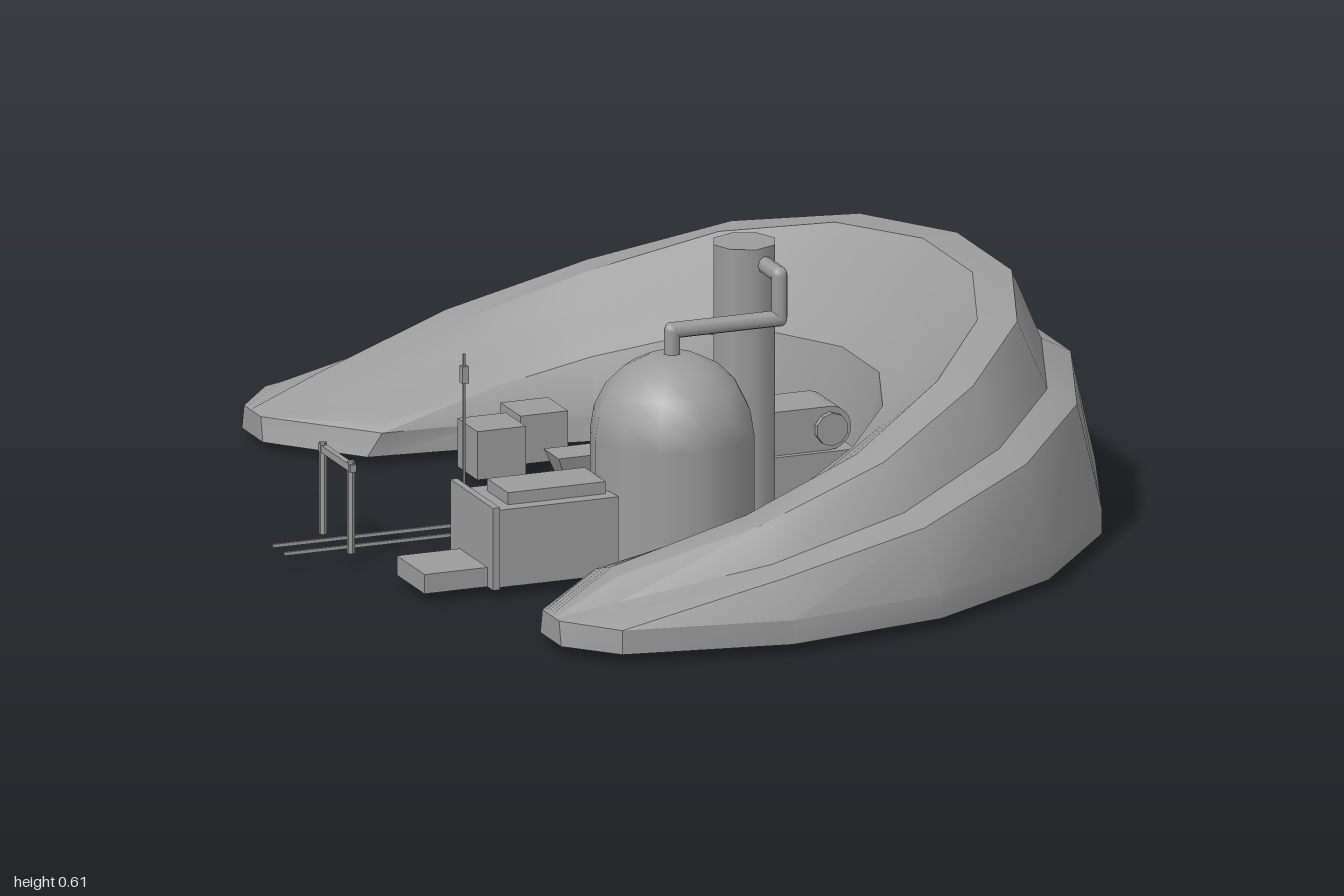
import * as THREE from 'three';
import { toCreasedNormals } from 'three/addons/utils/BufferGeometryUtils.js';

const GREY = 0x9c9c9c;
const flat = new THREE.MeshStandardMaterial({ color: GREY, flatShading: true, side: THREE.DoubleSide });
const smooth = new THREE.MeshStandardMaterial({ color: GREY, side: THREE.DoubleSide });
const GROUND = 0.02, SKIRT = 0.05;

// Crescent ridge: one terraced profile swept round an arc, shrinking to both tips
function ridgeGeometry() {
  // [radius, height] from the outer foot over the crest to the inner foot
  const profile = [[1, 0], [1, SKIRT], [0.95, 0.28], [0.89, 0.31], [0.83, 0.455], [0.75, 0.455],
    [0.69, 0.39], [0.63, 0.33], [0.56, 0.26], [0.525, SKIRT], [0.52, 0]];
  const scales = [1, 0.95, 0.83, 0.63, 0.44, 0.25];
  const n = profile.length, pos = [], idx = [];
  // The upright skirt keeps its height all the way round
  const height = (h, scale) => GROUND + (h && Math.max(SKIRT, h * scale));
  const tip = side => profile.forEach(([, h], i) =>
    pos.push(-0.58, height(h, 0), side * (0.84 - 0.11 * i / (n - 1))));

  tip(-1);
  for (let deg = -110; deg <= 110; deg += 20) {
    const step = (Math.abs(deg) - 10) / 20;
    profile.forEach(([r, h], i) => {
      const swing = step === 5 ? (i / (n - 1)) ** 3 : 0;
      const a = THREE.MathUtils.degToRad(deg + Math.sign(deg) * 7 * swing);
      const radius = r + 0.1 * swing;
      pos.push(-0.147 + Math.cos(a) * radius, height(h, scales[step]), Math.sin(a) * radius);
    });
  }
  tip(1);

  const sections = pos.length / 3 / n;
  for (let j = 0; j < sections - 1; j++)
    for (let i = 0; i < n - 1; i++) {
      const a = j * n + i, b = a + n;
      idx.push(a, a + 1, b, a + 1, b + 1, b);
    }
  // Blunt ends
  const last = (sections - 1) * n;
  for (let i = 1; i < n - 1; i++) idx.push(0, i + 1, i, last, last + i, last + i + 1);

  const g = new THREE.BufferGeometry();
  g.setAttribute('position', new THREE.Float32BufferAttribute(pos, 3));
  g.setIndex(idx);
  return toCreasedNormals(g, 0.45);
}

export function createModel() {
  const model = new THREE.Group();
  model.name = 'craterOutpost';

  const add = (name, geometry, x = 0, y = 0, z = 0, material = flat, parent = model) => {
    const mesh = new THREE.Mesh(geometry, material);
    mesh.name = name;
    mesh.position.set(x, y, z);
    parent.add(mesh);
  };
  // Box given by its extents; open boxes have no underside
  const box = (name, x0, x1, y0, y1, z0, z1, open = false, parent = model) => {
    const g = new THREE.BoxGeometry(x1 - x0, y1 - y0, z1 - z0);
    if (open) {
      const index = Array.from(g.index.array);
      index.splice(18, 6);
      g.setIndex(index);
      g.clearGroups();
    }
    add(name, g, (x0 + x1) / 2, (y0 + y1) / 2, (z0 + z1) / 2, flat, parent);
  };
  const group = name => {
    const g = new THREE.Group();
    g.name = name;
    model.add(g);
    return g;
  };

  add('ridge', ridgeGeometry(), 0, 0, 0, smooth);

  // Domed storage tank
  const tank = group('tank');
  add('tankWall', new THREE.CylinderGeometry(0.165, 0.165, 0.275, 12), -0.13, 0.1375, 0.32, smooth, tank);
  add('tankDome', new THREE.SphereGeometry(0.165, 12, 5, 0, Math.PI * 2, 0, Math.PI / 2), -0.13, 0.275, 0.32, smooth, tank);

  // Chimney stack and the pipe that feeds it
  add('stack', new THREE.CylinderGeometry(0.066, 0.066, 0.59, 8), 0.08, 0.315, 0.185, smooth);
  const pipe = group('pipe');
  const route = [[-0.13, 0.42, 0.32], [-0.13, 0.485, 0.32], [0.1, 0.485, 0.32], [0.1, 0.575, 0.32], [0.1, 0.575, 0.2]]
    .map(p => new THREE.Vector3(...p));
  for (let i = 0; i < route.length - 1; i++) {
    add('pipeRun', new THREE.TubeGeometry(new THREE.LineCurve3(route[i], route[i + 1]), 1, 0.017, 8), 0, 0, 0, smooth, pipe);
    if (i) add('pipeElbow', new THREE.SphereGeometry(0.017, 8, 6), ...route[i].toArray(), smooth, pipe);
  }

  // Workshop with raised roof, annexes and front wall
  const workshop = group('workshop');
  box('hall', -0.55, -0.28, GROUND, 0.18, 0.23, 0.405, true, workshop);
  box('roofSlab', -0.505, -0.295, 0.18, 0.205, 0.265, 0.375, false, workshop);
  box('sideAnnex', -0.52, -0.3, GROUND, 0.085, 0.125, 0.23, true, workshop);
  box('porch', -0.69, -0.55, GROUND, 0.06, 0.245, 0.39, true, workshop);
  box('frontWall', -0.555, -0.54, GROUND, 0.19, 0.195, 0.42, false, workshop);
  add('mast', new THREE.CylinderGeometry(0.003, 0.003, 0.43, 6), -0.53, 0.235, 0.207, flat, workshop);
  box('mastLamp', -0.537, -0.523, 0.39, 0.425, 0.2, 0.214, false, workshop);

  // Rail line with two gate frames
  for (const z of [-0.042, 0.019]) box('rail', -0.84, 0.05, 0.016, 0.023, z - 0.003, z + 0.003);
  for (const x of [-0.715, -0.06]) {
    const gate = group('gate');
    for (const z of [-0.082, 0.065])
      add('gatePost', new THREE.CylinderGeometry(0.008, 0.008, 0.19, 6), x, GROUND + 0.095, z, flat, gate);
    box('gateBeam', x - 0.006, x + 0.006, 0.19, 0.205, -0.095, 0.078, false, gate);
  }

  // Hopper carts with narrowing bodies, one on the rails and one parked
  const hopper = new THREE.CylinderGeometry(Math.SQRT1_2, 0.45, 0.06, 4, 1).rotateY(Math.PI / 4).scale(0.137, 1, 0.08);
  add('railCart', hopper, -0.05, 0.065, -0.013);
  add('parkedCart', hopper, -0.103, 0.06, -0.215);

  // Conveyor: base block carrying a round-ended belt on rollers
  const conveyor = group('conveyor');
  box('conveyorBase', 0.05, 0.37, GROUND, 0.115, -0.085, 0.06, true, conveyor);
  const belt = new THREE.Shape();
  belt.absarc(0.11, 0, 0.045, -Math.PI / 2, Math.PI / 2);
  belt.absarc(-0.11, 0, 0.045, Math.PI / 2, Math.PI * 1.5);
  add('belt', new THREE.ExtrudeGeometry(belt, { depth: 0.12, bevelEnabled: false, curveSegments: 6 }),
    0.21, 0.16, -0.0725, flat, conveyor);
  for (const x of [0.1, 0.32])
    add('roller', new THREE.CylinderGeometry(0.034, 0.034, 0.145, 10).rotateX(Math.PI / 2), x, 0.16, -0.0125, flat, conveyor);

  // Loose crates
  box('crate', -0.287, -0.183, GROUND, 0.12, -0.425, -0.32, true);
  box('crate', -0.166, -0.064, GROUND, 0.12, -0.495, -0.39, true);

  return model;
}
